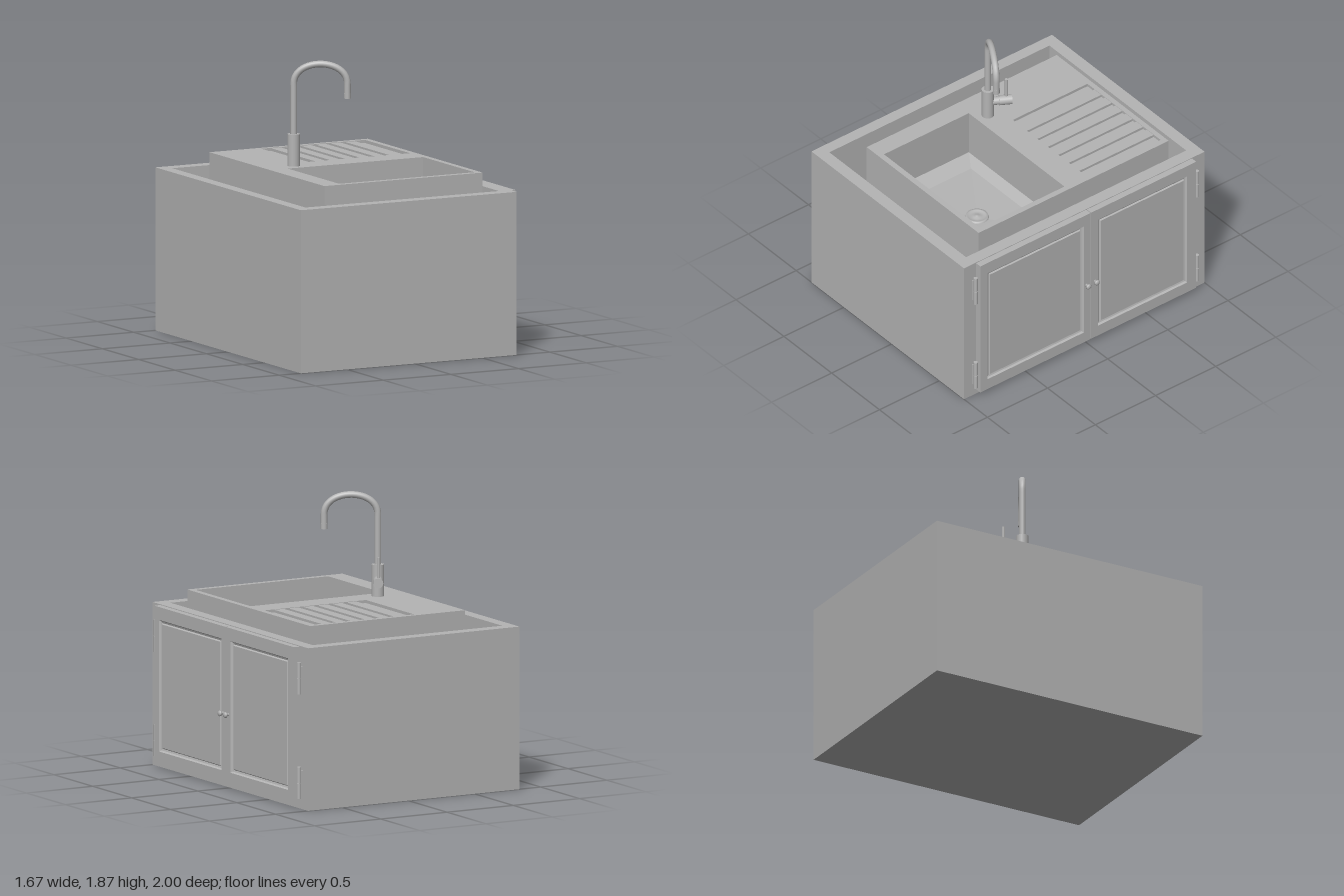
import * as THREE from 'three';

const grey = new THREE.MeshStandardMaterial({ color: 0xb4b4b4 });
grey.name = 'plainGrey';
const greyOpen = grey;
grey.side = THREE.DoubleSide;

// Rectangle as [x0, x1, z0, z1], laid flat after extrusion
function path(r, P) {
  const p = new P();
  p.moveTo(r[0], -r[3]);
  p.lineTo(r[1], -r[3]);
  p.lineTo(r[1], -r[2]);
  p.lineTo(r[0], -r[2]);
  p.closePath();
  return p;
}

// Flat slab between two heights with rectangular holes
function slab(outer, holes, y0, y1) {
  const shape = path(outer, THREE.Shape);
  holes.forEach(h => shape.holes.push(path(h, THREE.Path)));
  const g = new THREE.ExtrudeGeometry(shape, { depth: y1 - y0, bevelEnabled: false });
  return g.rotateX(-Math.PI / 2).translate(0, y0, 0);
}

// Faceted surface through nested rectangles [a0, a1, b0, b1, depth], closed at a centre point
function nested(rings, centre, place) {
  const pos = [];
  const tri = (...pts) => pts.forEach(p => pos.push(...place(...p)));
  const loops = rings.map(([a0, a1, b0, b1, d]) => [[a0, b0, d], [a1, b0, d], [a1, b1, d], [a0, b1, d]]);
  loops.forEach((p, i) => {
    const q = loops[i + 1];
    for (let k = 0; k < 4; k++) {
      const n = (k + 1) % 4;
      if (q) {
        tri(p[k], p[n], q[n]);
        tri(p[k], q[n], q[k]);
      } else tri(p[k], p[n], centre);
    }
  });
  const g = new THREE.BufferGeometry();
  g.setAttribute('position', new THREE.Float32BufferAttribute(pos, 3));
  g.computeVertexNormals();
  return g;
}

// Cylinder running between two points
function rod(a, b, r, sides = 20) {
  const A = new THREE.Vector3(...a), dir = new THREE.Vector3(...b).sub(A);
  const g = new THREE.CylinderGeometry(r, r, dir.length(), sides);
  g.applyQuaternion(new THREE.Quaternion().setFromUnitVectors(new THREE.Vector3(0, 1, 0), dir.clone().normalize()));
  return g.translate(...A.addScaledVector(dir, 0.5).toArray());
}

export function createModel() {
  const model = new THREE.Group();
  model.name = 'sinkCabinet';
  const add = (name, geometry, parent = model) => {
    const m = new THREE.Mesh(geometry, grey);
    m.name = name;
    parent.add(m);
    return m;
  };
  const box = (x0, x1, y0, y1, z0, z1) =>
    new THREE.BoxGeometry(x1 - x0, y1 - y0, z1 - z0).translate((x0 + x1) / 2, (y0 + y1) / 2, (z0 + z1) / 2);

  // Open-topped cabinet with an inner shelf
  add('cabinetWalls', slab([-0.84, 0.755, -1, 1], [[-0.76, 0.67, -0.915, 0.915]], 0, 1.075));
  add('cabinetFloor', box(-0.76, 0.67, 0, 0.08, -0.915, 0.915));
  add('shelf', box(-0.595, 0.67, 0.46, 0.5, -0.9, 0.89));

  // Sink block: bowl opening all the way down, draining board only in the top layer
  const outer = [-0.545, 0.625, -0.805, 0.775];
  const bowl = [-0.415, 0.585, 0.03, 0.735];
  const board = [-0.18, 0.585, -0.77, -0.15];
  add('sinkBody', slab(outer, [bowl], 0.78, 1.16));
  add('sinkTop', slab(outer, [bowl, board], 1.16, 1.18));
  add('bowlFloor', nested(
    [[-0.415, 0.585, -0.735, -0.03, 0.86], [-0.31, 0.52, -0.67, -0.095, 0.82]],
    [0.105, -0.375, 0.805],
    (a, b, d) => [a, d, -b]));

  // Draining ribs
  for (let i = 1; i < 7; i++) {
    const x = board[0] + (board[1] - board[0]) * i / 7;
    add('drainingRib', box(x - 0.036, x + 0.036, 1.158, 1.177, board[2], board[3]));
  }

  // Drain: stepped rosette with a central pin
  const drainProfile = [[0.078, 0], [0.074, 0.012], [0.06, 0.012], [0.052, 0.004], [0.03, 0.004],
    [0.026, 0.009], [0.012, 0.009], [0.01, 0.014], [0, 0.014]].map(p => new THREE.Vector2(...p));
  add('drain', new THREE.LatheGeometry(drainProfile, 24).translate(0.105, 0.807, 0.375));

  // Faucet: body, arched spout, side valve and lever
  const faucet = new THREE.Group();
  faucet.name = 'faucet';
  model.add(faucet);
  const fx = -0.325, fz = -0.057, tx = -0.02, tz = 0.115;
  const V = (x, y, z) => new THREE.Vector3(x, y, z);
  add('faucetBody', rod([fx, 1.17, fz], [fx, 1.39, fz], 0.041), faucet);
  const spout = new THREE.CurvePath();
  spout.add(new THREE.LineCurve3(V(fx, 1.38, fz), V(fx, 1.72, fz)));
  spout.add(new THREE.CubicBezierCurve3(V(fx, 1.72, fz), V(fx, 1.895, fz), V(tx, 1.895, tz), V(tx, 1.72, tz)));
  spout.add(new THREE.LineCurve3(V(tx, 1.72, tz), V(tx, 1.63, tz)));
  add('spout', new THREE.TubeGeometry(spout, 40, 0.022, 12), faucet);
  add('nozzle', rod([tx, 1.625, tz], [tx, 1.66, tz], 0.023, 12), faucet);
  add('valveNeck', rod([fx, 1.29, fz], [-0.278, 1.29, -0.14], 0.028), faucet);
  add('valve', rod([-0.288, 1.29, -0.122], [-0.247, 1.29, -0.195], 0.033), faucet);
  add('lever', rod([-0.267, 1.29, -0.165], [-0.267, 1.455, -0.165], 0.011, 10), faucet);

  // Doors with a moulded groove around a raised panel
  const doorSpans = [[-0.9, 0.016, -0.84, -0.04], [0.021, 0.895, 0.08, 0.82]];
  doorSpans.forEach(([a0, a1, p0, p1], i) => {
    const inset = (s, d) => [p0 + s, p1 - s, 0.115 + s, 0.985 - s, d];
    add(i ? 'rightDoor' : 'leftDoor', nested(
      [[a0, a1, 0.035, 1.07, 0.755], [a0, a1, 0.035, 1.07, 0.8], inset(0, 0.8), inset(0.008, 0.788),
        inset(0.02, 0.784), inset(0.027, 0.793)],
      [(p0 + p1) / 2, 0.55, 0.793],
      (a, b, d) => [d, b, -a]));
  });

  // Knobs
  const knobProfile = [[0.01, 0], [0.009, 0.014], [0.019, 0.019], [0.019, 0.027], [0.013, 0.034], [0, 0.035]]
    .map(p => new THREE.Vector2(...p));
  for (const z of [0.017, -0.053]) {
    const knob = add('knob', new THREE.LatheGeometry(knobProfile, 16));
    knob.rotation.z = -Math.PI / 2;
    knob.position.set(0.8, 0.495, z);
  }

  // Hinges: leaf and barrel, two on each side
  for (const s of [1, -1]) {
    for (const y of [0.175, 0.865]) {
      const z = s * 0.92;
      add('hingeLeaf', box(0.75, 0.778, y - 0.08, y + 0.08, z - 0.012, z + 0.012));
      add('hingeBarrel', rod([0.777, y - 0.105, z], [0.777, y - 0.002, z], 0.014, 12));
      add('hingeBarrel', rod([0.777, y + 0.002, z], [0.777, y + 0.105, z], 0.014, 12));
    }
  }
  return model;
}
